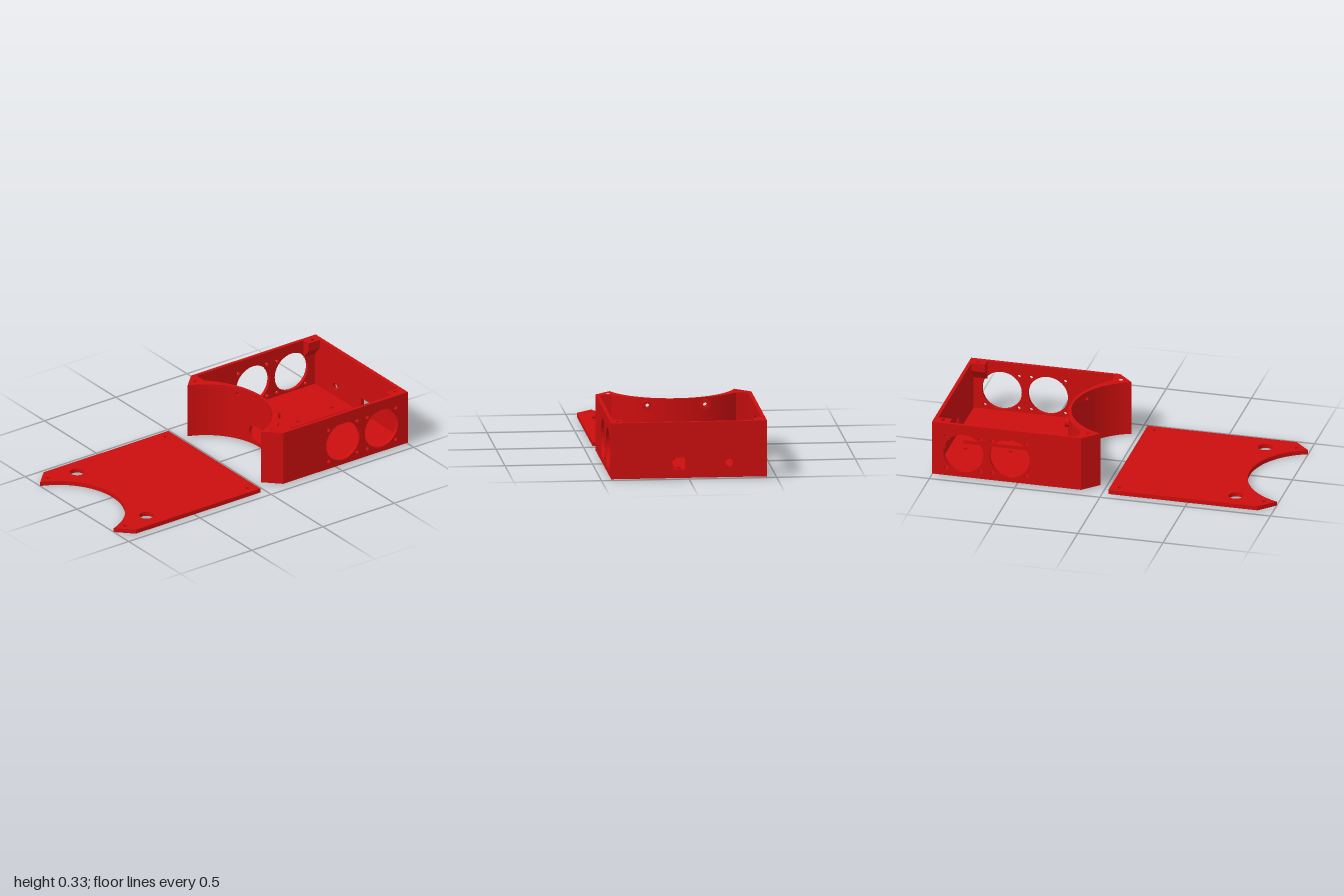
import * as THREE from 'three';

const red = new THREE.MeshStandardMaterial({ color: 0xcc0e0e });
red.name = 'red plastic';

const BASE = 0.007, FLOOR = 0.03, TOP = 0.33, HALF = 0.445, WALL = 0.02;

function add(group, name, geometry) {
  const mesh = new THREE.Mesh(geometry, red);
  mesh.name = name;
  group.add(mesh);
  return mesh;
}

function polygon(points) {
  return new THREE.Shape(points.map(([a, b]) => new THREE.Vector2(a, b)));
}

function rect(a0, b0, a1, b1) {
  return polygon([[a0, b0], [a1, b0], [a1, b1], [a0, b1]]);
}

function punch(shape, a, b, r) {
  shape.holes.push(new THREE.Path().absarc(a, b, r, 0, Math.PI * 2, true));
}

function extrude(shape, depth) {
  return new THREE.ExtrudeGeometry(shape, { depth, bevelEnabled: false, curveSegments: 24 });
}

// plan shape in (x, z), raised from y0 to y1
function slab(shape, y0, y1) {
  return extrude(shape, y1 - y0).rotateX(Math.PI / 2).translate(0, y1, 0);
}

// upright shape in (z, y), from x0 to x1
function sidePlate(shape, x0, x1) {
  return extrude(shape, x1 - x0).rotateY(-Math.PI / 2).translate(x1, 0, 0);
}

// plan outline shared by lid and floor, with its concave end
function outline(x0) {
  const pts = [[x0 + 0.965, -HALF], [x0 + 0.965, HALF], [x0 + 0.09, HALF]];
  for (let i = 0; i <= 48; i++) {
    const z = 0.355 * Math.cos((i / 48) * Math.PI);
    pts.push([x0 - 0.127 + Math.sqrt(0.1421 - z * z), z]);
  }
  pts.push([x0 + 0.09, -HALF]);
  return polygon(pts);
}

const outerX = z => -0.092 + Math.sqrt(0.1421 - z * z);
const innerX = z => -0.188 + Math.sqrt(0.2381 - z * z);

// piece of the curved wall between z0 and z1, with bottom and top given by rules
function curvedPiece(z0, z1, low, high, steps) {
  const pos = [], rings = [];
  for (let i = 0; i <= steps; i++) {
    // cosine spacing keeps round hole ends smooth
    const z = (z0 + z1) / 2 - ((z1 - z0) / 2) * Math.cos((i / steps) * Math.PI);
    const a = low(z), b = high(z), o = outerX(z), n = innerX(z);
    rings.push([[o, a, z], [n, a, z], [n, b, z], [o, b, z]]);
  }
  for (let i = 0; i < steps; i++) {
    for (let k = 0; k < 4; k++) {
      const a = rings[i][k], b = rings[i][(k + 1) % 4];
      const c = rings[i + 1][(k + 1) % 4], d = rings[i + 1][k];
      pos.push(...a, ...b, ...c, ...a, ...c, ...d);
    }
  }
  const g = new THREE.BufferGeometry();
  g.setAttribute('position', new THREE.Float32BufferAttribute(pos, 3));
  g.computeVertexNormals();
  return g;
}

function buildLid() {
  const lid = new THREE.Group();
  lid.name = 'lid';
  const shape = outline(-1);
  for (const s of [-1, 1]) {
    punch(shape, -0.755, s * 0.335, 0.042);
    punch(shape, -0.93, s * 0.37, 0.012);
    punch(shape, -0.09, s * 0.397, 0.012);
  }
  add(lid, 'lidPlate', slab(shape, 0, 0.025));
  return lid;
}

function buildCurvedWall(box) {
  const floor = () => FLOOR, top = () => TOP;
  // centre, half length and end radius of each opening
  const openings = [
    { z: -0.165, y: 0.29, half: 0.012, r: 0.012 },
    { z: 0, y: 0.08, half: 0.09, r: 0.044 },
    { z: 0.165, y: 0.29, half: 0.012, r: 0.012 },
  ];
  let start = -0.355;
  for (const { z, y, half, r } of openings) {
    const rise = t => {
      const d = Math.max(0, Math.abs(t - z) - (half - r));
      return Math.sqrt(Math.max(0, r * r - d * d));
    };
    add(box, 'curvedWall', curvedPiece(start, z - half, floor, top, 16));
    add(box, 'curvedWallBelowOpening', curvedPiece(z - half, z + half, floor, t => y - rise(t), 28));
    add(box, 'curvedWallAboveOpening', curvedPiece(z - half, z + half, t => y + rise(t), top, 28));
    start = z + half;
  }
  add(box, 'curvedWall', curvedPiece(start, 0.355, floor, top, 16));
}

function buildBox() {
  const box = new THREE.Group();
  box.name = 'box';

  // floor with mounting holes
  const floor = outline(0.035);
  for (const [x, z] of [[0.475, -0.122], [0.625, -0.096], [0.885, -0.122],
    [0.625, 0.043], [0.508, 0.118], [0.88, 0.118]]) punch(floor, x, z, 0.012);
  for (const s of [-1, 1]) punch(floor, 0.3, s * 0.225, 0.018);
  add(box, 'floor', slab(floor, BASE, FLOOR));

  // rounded ribs on the floor
  for (const [x0, x1, z] of [[0.53, 0.925, -0.041], [0.53, 0.595, 0.055], [0.67, 0.9, 0.055]]) {
    const r = 0.018, rib = new THREE.Shape();
    rib.absarc(x1 - r, z, r, -Math.PI / 2, Math.PI / 2, false);
    rib.absarc(x0 + r, z, r, Math.PI / 2, Math.PI * 1.5, false);
    add(box, 'floorRib', slab(rib, FLOOR, 0.05));
  }

  // end wall with square port and round port
  const end = rect(-HALF, FLOOR, HALF, TOP);
  end.holes.push(rect(0.02, 0.057, 0.095, 0.124));
  punch(end, -0.23, 0.09, 0.022);
  add(box, 'endWall', sidePlate(end, 1 - WALL, 1));

  for (const s of [-1, 1]) {
    // side wall with two fan openings and their screw holes
    const side = rect(0.15, FLOOR, 1 - WALL, TOP);
    for (const x of [0.544, 0.815]) {
      punch(side, x, 0.154, 0.117);
      for (const dx of [-0.1, 0.1]) for (const dy of [-0.1, 0.1]) punch(side, x + dx, 0.154 + dy, 0.011);
    }
    add(box, 'sideWall', extrude(side, WALL).translate(0, 0, s > 0 ? HALF - WALL : -HALF));

    // solid chamfered corner with a blind screw hole
    const corner = () => polygon([[0.035, s * 0.355], [0.125, s * HALF], [0.15, s * HALF], [0.15, s * 0.355]]);
    add(box, 'cornerBlock', slab(corner(), FLOOR, 0.25));
    const cornerTop = corner();
    punch(cornerTop, 0.102, s * 0.372, 0.011);
    add(box, 'cornerBlockTop', slab(cornerTop, 0.25, TOP));

    // rear screw lug, tapering into the side wall underneath
    const lug = rect(0.9, s * 0.375, 1 - WALL, s * (HALF - WALL));
    punch(lug, 0.945, s * 0.4, 0.011);
    add(box, 'screwLug', slab(lug, 0.28, TOP));
    const taper = polygon([[s * 0.375, 0.28], [s * 0.425, 0.28], [s * 0.425, 0.22]]);
    add(box, 'screwLugTaper', sidePlate(taper, 0.9, 1 - WALL));

    // boss behind each screw hole of the curved wall
    const boss = new THREE.Shape().absarc(s * 0.165, 0.29, 0.03, 0, Math.PI * 2, false);
    punch(boss, s * 0.165, 0.29, 0.012);
    add(box, 'curvedWallBoss', sidePlate(boss, 0.258, 0.288));
  }
  buildCurvedWall(box);
  return box;
}

export function createModel() {
  const model = new THREE.Group();
  model.name = 'enclosure';
  model.add(buildLid(), buildBox());
  return model;
}
